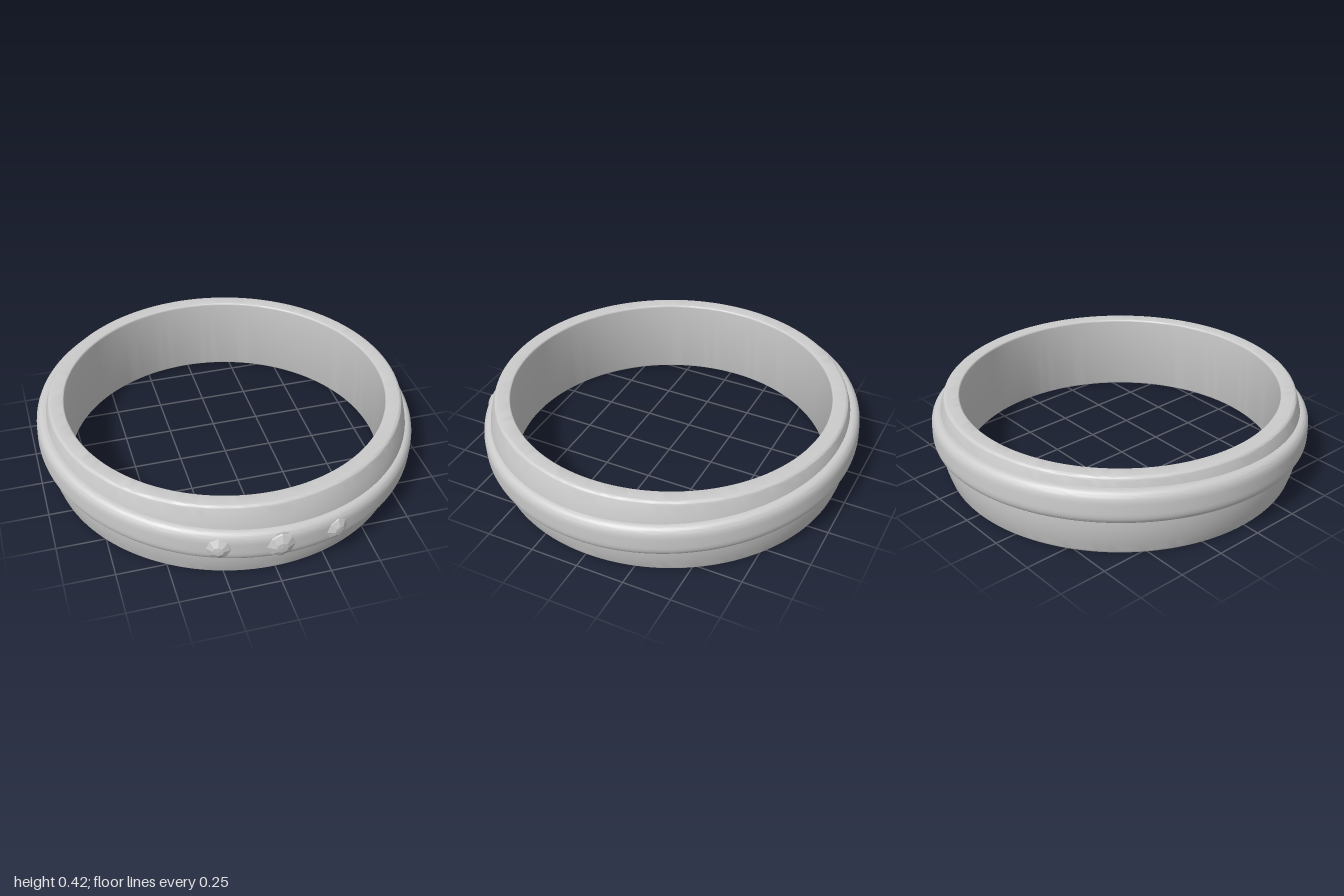
import * as THREE from 'three';
import { toCreasedNormals } from 'three/addons/utils/BufferGeometryUtils.js';

const smooth = new THREE.MeshStandardMaterial({ color: 0xcccccc });
const faceted = new THREE.MeshStandardMaterial({ color: 0xcccccc, flatShading: true });

// Revolve a closed profile (inner wall down, outer wall up) around y
function revolve(name, shape, divisions) {
  const points = shape.getPoints(divisions);
  const geometry = toCreasedNormals(new THREE.LatheGeometry(points, 160), 0.6);
  const mesh = new THREE.Mesh(geometry, smooth);
  mesh.name = name;
  return mesh;
}

// Main band: straight bore, softened rims, slightly barrelled outside
function makeBand() {
  const s = new THREE.Shape();
  s.moveTo(0.835, 0.41);
  s.lineTo(0.835, 0.01);
  s.quadraticCurveTo(0.835, 0, 0.845, 0);
  s.lineTo(0.9, 0);
  s.quadraticCurveTo(0.917, 0, 0.921, 0.02);
  s.quadraticCurveTo(0.987, 0.21, 0.921, 0.4);
  s.quadraticCurveTo(0.917, 0.42, 0.9, 0.42);
  s.lineTo(0.845, 0.42);
  s.quadraticCurveTo(0.835, 0.42, 0.835, 0.41);
  return revolve('band', s, 8);
}

// Raised outer hoop with generously rounded edges
function makeHoop() {
  const s = new THREE.Shape();
  s.moveTo(0.9, 0.085);
  s.lineTo(0.9, -0.085);
  s.lineTo(0.945, -0.085);
  s.bezierCurveTo(0.972, -0.085, 0.987, -0.06, 0.987, -0.025);
  s.lineTo(0.987, 0.025);
  s.bezierCurveTo(0.987, 0.06, 0.972, 0.085, 0.945, 0.085);
  s.lineTo(0.9, 0.085);
  return revolve('hoop', s, 10);
}

// Cut stone in a round seat, facing +z from the hoop's axis
function makeStone(radius, angle) {
  const stone = new THREE.Group();
  stone.name = 'stone';

  const seat = new THREE.Mesh(new THREE.CylinderGeometry(radius, radius, 0.05, 32), smooth);
  seat.name = 'stoneSeat';
  seat.position.z = 0.953;

  const profile = [[radius * 0.95, 0], [radius * 0.9, 0.012], [radius * 0.4, 0.03], [0, 0.032]];
  const gem = new THREE.Mesh(
    new THREE.LatheGeometry(profile.map(([r, y]) => new THREE.Vector2(r, y)), 8), faceted);
  gem.name = 'gem';
  gem.position.z = 0.976;

  for (const part of [seat, gem]) {
    part.rotation.x = Math.PI / 2;
    stone.add(part);
  }
  stone.rotation.y = angle;
  return stone;
}

export function createModel() {
  const model = new THREE.Group();
  model.name = 'ring';

  const band = makeBand();
  band.position.z = -0.012;
  model.add(band);

  // Hoop and stones sit tilted on the band, lowest at front left
  const tilted = new THREE.Group();
  tilted.name = 'tiltedHoop';
  tilted.position.set(0, 0.243, -0.012);
  tilted.rotation.set(0.033, 0, -0.033);
  tilted.add(makeHoop());
  for (const [radius, angle] of [[0.064, -0.3], [0.075, 0], [0.064, 0.3]]) {
    tilted.add(makeStone(radius, angle));
  }
  model.add(tilted);
  return model;
}
